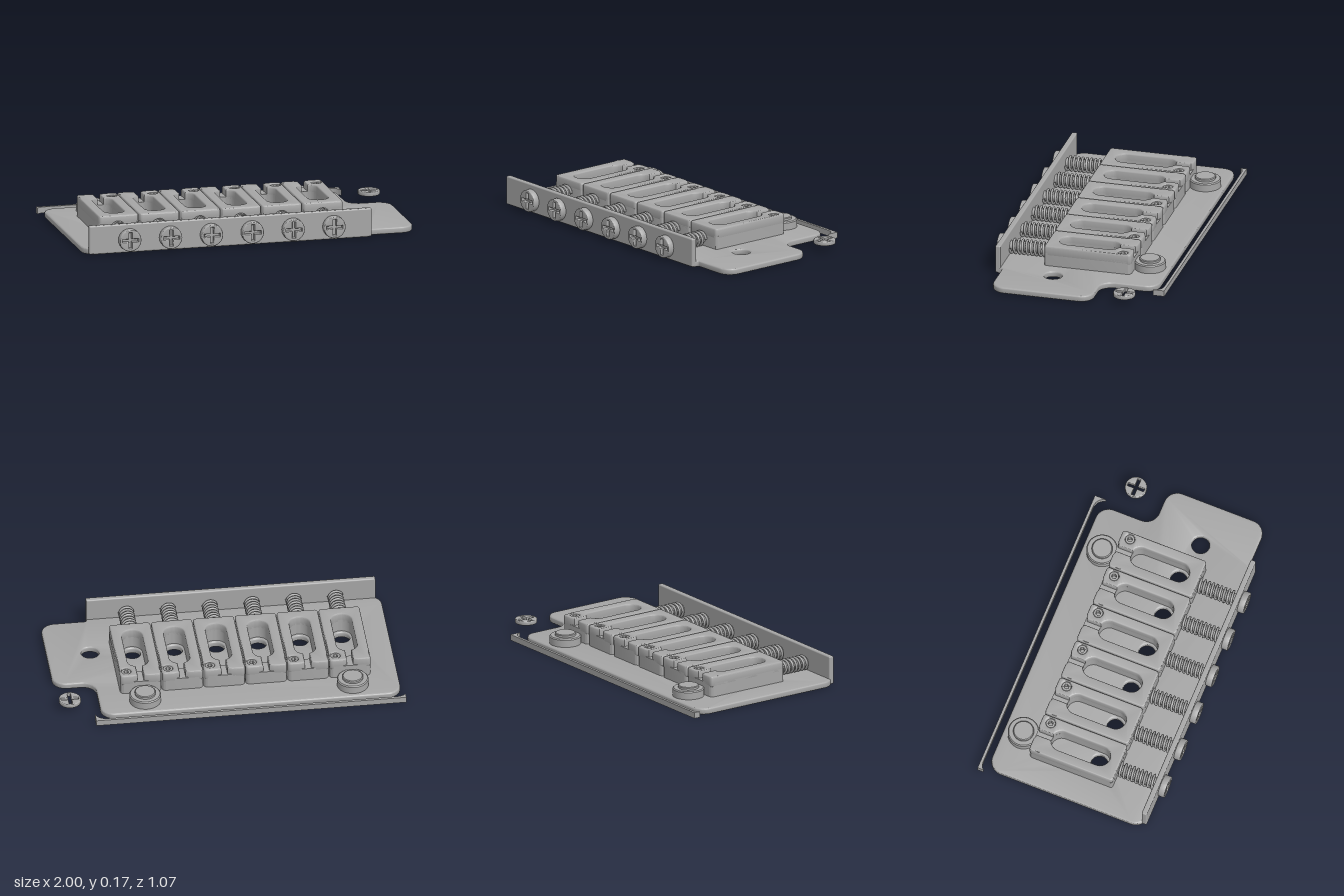
import * as THREE from 'three';
import { toCreasedNormals } from 'three/addons/utils/BufferGeometryUtils.js';
import { RoundedBoxGeometry } from 'three/addons/geometries/RoundedBoxGeometry.js';

const metal = new THREE.MeshStandardMaterial({ color: 0xa6a6a6 });
metal.name = 'grey metal';

function add(parent, name, geometry, x = 0, y = 0, z = 0) {
  const mesh = new THREE.Mesh(geometry, metal);
  mesh.name = name;
  mesh.position.set(x, y, z);
  parent.add(mesh);
  return mesh;
}

// Closed plan outline from [x, z, cornerRadius] points
function outline(points) {
  const shape = new THREE.Shape();
  const n = points.length;
  points.forEach(([x, z, r], i) => {
    const p = new THREE.Vector2(x, -z);
    const toward = (q, d) => p.clone().add(new THREE.Vector2(q[0], -q[1]).sub(p).setLength(d));
    const a = points[(i + n - 1) % n], b = points[(i + 1) % n];
    const s = toward(a, r), e = toward(b, r);
    if (i === 0) shape.moveTo(s.x, s.y); else shape.lineTo(s.x, s.y);
    if (r > 0) {
      const c1 = toward(a, r * 0.45), c2 = toward(b, r * 0.45);
      shape.bezierCurveTo(c1.x, c1.y, c2.x, c2.y, e.x, e.y);
    }
  });
  return shape;
}

const circle = (x, z, r) => new THREE.Path().absarc(x, -z, r, 0, Math.PI * 2);

// Extrusion along z from 0 to h, edges softened inward
function extrude(shape, h, bevel) {
  const g = new THREE.ExtrudeGeometry(shape, {
    depth: h - 2 * bevel, curveSegments: 12, bevelEnabled: bevel > 0,
    bevelThickness: bevel, bevelSize: bevel, bevelOffset: -bevel, bevelSegments: 3,
  });
  return toCreasedNormals(g.translate(0, 0, bevel), 0.6);
}

// Horizontal slab between two heights
const slab = (shape, y0, y1, bevel = 0) =>
  extrude(shape, y1 - y0, bevel).rotateX(-Math.PI / 2).translate(0, y0, 0);

// Round head with a cross-shaped opening, facing +z
function crossHead(r, h, arm) {
  const disc = new THREE.Shape().absarc(0, 0, r, 0, Math.PI * 2);
  const w = 0.009;
  const cross = [[w, w], [arm, w], [arm, -w], [w, -w], [w, -arm], [-w, -arm],
    [-w, -w], [-arm, -w], [-arm, w], [-w, w], [-w, arm], [w, arm]];
  disc.holes.push(new THREE.Path(cross.map(([x, y]) => new THREE.Vector2(x, y))));
  return extrude(disc, h, 0.005);
}

class Helix extends THREE.Curve {
  constructor(r, length, turns) { super(); Object.assign(this, { r, length, turns }); }
  getPoint(t, target = new THREE.Vector3()) {
    const a = t * this.turns * Math.PI * 2;
    return target.set(Math.cos(a) * this.r, Math.sin(a) * this.r, t * this.length);
  }
}

// Saddle with long slot, string channel and two height screws
const HALF = 0.119, BACK = -0.286, FRONT = 0.232, SLOT = 0.06;
function makeSaddle() {
  const saddle = new THREE.Group();
  saddle.name = 'saddle';
  const base = outline([[-HALF, BACK, 0.025], [-HALF, FRONT, 0.015], [HALF, FRONT, 0.015], [HALF, BACK, 0.025]]);
  base.holes.push(new THREE.Path()
    .absarc(0, 0.13, SLOT, 0, Math.PI).absarc(0, -0.108, SLOT, Math.PI, Math.PI * 2));
  add(saddle, 'saddleBase', slab(base, 0.037, 0.115));

  const c = SLOT * Math.sin(0.3), k = 0.02;
  const top = new THREE.Shape();
  top.moveTo(-c, -BACK - 0.01);
  top.lineTo(-0.045, -BACK);
  top.lineTo(-HALF + k, -BACK);
  top.quadraticCurveTo(-HALF, -BACK, -HALF, -BACK - k);
  top.lineTo(-HALF, -FRONT + k);
  top.quadraticCurveTo(-HALF, -FRONT, -HALF + k, -FRONT);
  top.lineTo(HALF - k, -FRONT);
  top.quadraticCurveTo(HALF, -FRONT, HALF, -FRONT + k);
  top.lineTo(HALF, -BACK - k);
  top.quadraticCurveTo(HALF, -BACK, HALF - k, -BACK);
  top.lineTo(0.045, -BACK);
  top.lineTo(c, -BACK - 0.01);
  top.absarc(0, 0.13, SLOT, Math.PI / 2 - 0.3, 0, true);
  top.absarc(0, -0.108, SLOT, 0, -Math.PI, true);
  top.absarc(0, 0.13, SLOT, Math.PI, Math.PI / 2 + 0.3, true);
  for (const s of [-1, 1]) top.holes.push(circle(s * 0.079, -0.23, 0.028));
  add(saddle, 'saddleTop', slab(top, 0.095, 0.158, 0.009));

  // Hollow hexagonal height screws
  const ring = new THREE.Shape().absarc(0, 0, 0.027, 0, Math.PI * 2);
  const hex = Array.from({ length: 6 }, (_, i) =>
    new THREE.Vector2(0.015 * Math.cos(i * Math.PI / 3), 0.015 * Math.sin(i * Math.PI / 3)));
  ring.holes.push(new THREE.Path(hex));
  for (const s of [-1, 1]) add(saddle, 'heightScrew', slab(ring, 0.11, 0.152, 0.003), s * 0.079, 0, -0.23);
  return saddle;
}

// Long adjusting screw with its spring
function makeScrew() {
  const screw = new THREE.Group();
  screw.name = 'adjustingScrew';
  add(screw, 'screwHead', crossHead(0.065, 0.039, 0.047), 0, 0, 0.495);
  add(screw, 'screwHeadFloor', new THREE.CylinderGeometry(0.058, 0.058, 0.012, 32).rotateX(Math.PI / 2), 0, 0, 0.502);
  add(screw, 'screwShaft', new THREE.CylinderGeometry(0.03, 0.03, 0.27, 20).rotateX(Math.PI / 2), 0, 0, 0.35);
  add(screw, 'spring', new THREE.TubeGeometry(new Helix(0.039, 0.225, 9), 160, 0.008, 6), 0, 0, 0.236);
  return screw;
}

export function createModel() {
  const bridge = new THREE.Group();
  bridge.name = 'bridge';
  const saddleX = Array.from({ length: 6 }, (_, i) => -0.706 + i * 0.243);

  // Base plate with string holes and arm hole
  const plate = outline([
    [-0.98, -0.48, 0.08], [-0.98, 0.49, 0.08], [0.73, 0.49, 0.02], [0.73, 0.452, 0.01],
    [1.0, 0.452, 0.08], [1.0, -0.15, 0.08], [0.76, -0.15, 0.08], [0.76, -0.48, 0.08],
  ]);
  for (const x of saddleX) plate.holes.push(circle(x, 0.105, 0.048));
  plate.holes.push(circle(0.749, 0.144, 0.052));
  add(bridge, 'basePlate', slab(plate, 0, 0.037, 0.009));

  // Upturned front lip
  add(bridge, 'frontLip', new RoundedBoxGeometry(1.68, 0.168, 0.032, 2, 0.008), -0.11, 0.088, 0.48);

  for (const x of saddleX) {
    const saddle = makeSaddle();
    saddle.position.x = x;
    const screw = makeScrew();
    screw.position.set(x - 0.008, 0.081, 0);
    bridge.add(saddle, screw);
  }

  // Stepped pivot posts
  const profile = [[0, 0.101], [0.055, 0.101], [0.06, 0.097], [0.06, 0.085], [0.085, 0.085],
    [0.091, 0.079], [0.091, 0.03]].reverse().map(([r, y]) => new THREE.Vector2(r, y));
  for (const x of [-0.71, 0.495]) {
    add(bridge, 'pivotPost', toCreasedNormals(new THREE.LatheGeometry(profile, 40), 0.6), x, 0, -0.365);
  }

  // Separate side screw
  add(bridge, 'sideScrew', crossHead(0.064, 0.026, 0.05).rotateX(-Math.PI / 2), 0.928, 0.039, -0.33);

  // Thin rear strip with hooked ends
  const strip = new THREE.Shape();
  strip.moveTo(-1, 0.533);
  strip.lineTo(-1, 0.495);
  strip.quadraticCurveTo(-0.985, 0.515, -0.95, 0.517);
  strip.lineTo(0.735, 0.517);
  strip.quadraticCurveTo(0.785, 0.515, 0.8, 0.465);
  strip.lineTo(0.8, 0.533);
  add(bridge, 'rearStrip', slab(strip, 0.003, 0.038));
  return bridge;
}
